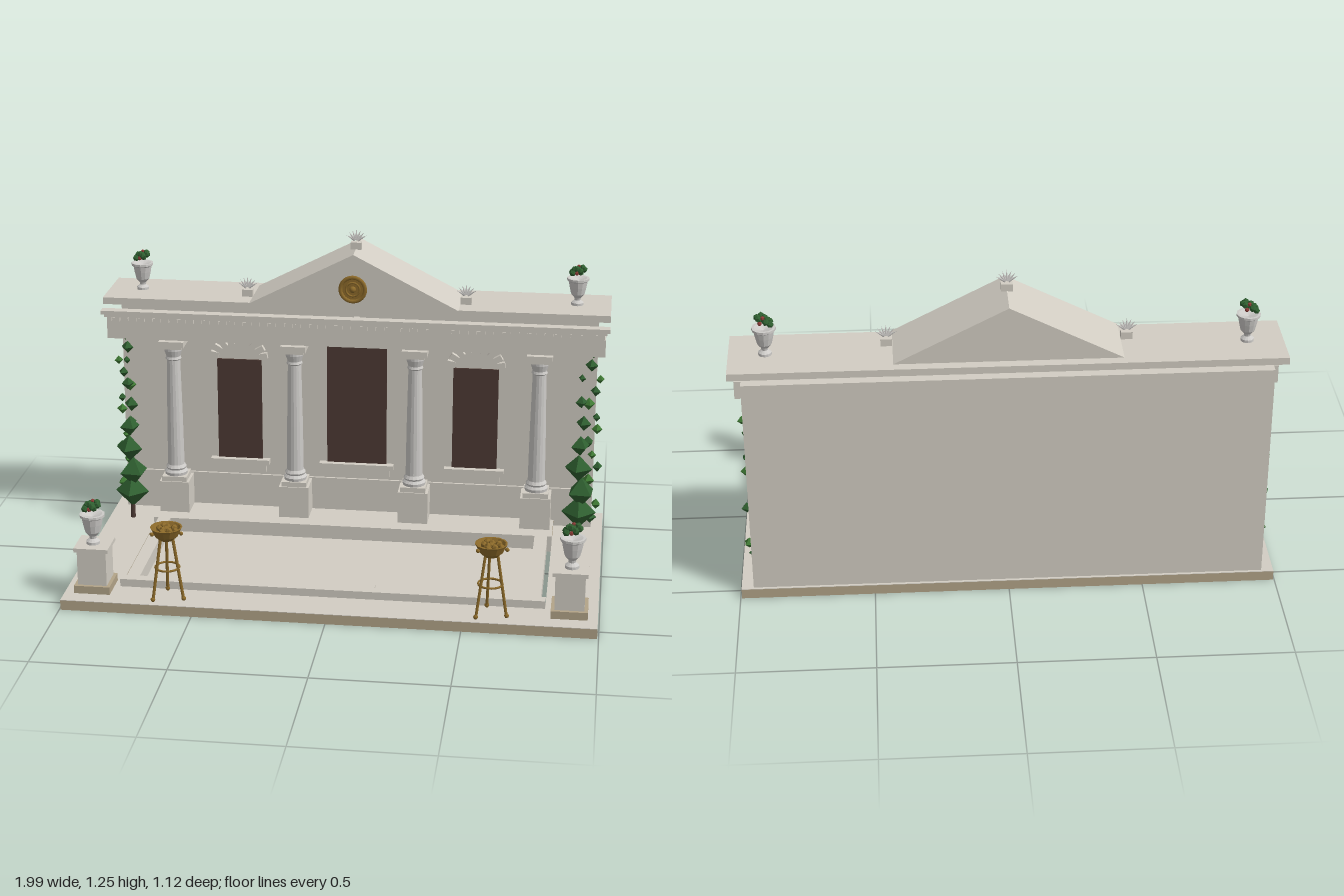
import * as THREE from 'three';

const mat = (name, color) => {
  const m = new THREE.MeshStandardMaterial({ color });
  m.name = name;
  return m;
};

export function createModel() {
  const root = new THREE.Group();
  root.name = 'poolPavilion';
  const stone = mat('stone', 0xd2cdc3), marble = mat('marble', 0xcdcbc8), tan = mat('sandstone', 0xb3a488);
  const dark = mat('darkPanel', 0x4d3a34), bronze = mat('bronze', 0x8c6a2a), blue = mat('poolBlue', 0x4c809c);
  const green = mat('foliage', 0x2f5f30), leaf = mat('ivyLeaf', 0x3f7a34), red = mat('flowerRed', 0x8a3a35);

  // Helpers
  const add = (parent, name, geo, m, x = 0, y = 0, z = 0) => {
    const mesh = new THREE.Mesh(geo, m);
    mesh.name = name;
    mesh.position.set(x, y, z);
    parent.add(mesh);
    return mesh;
  };
  const box = (parent, name, m, x0, x1, y0, y1, z0, z1) =>
    add(parent, name, new THREE.BoxGeometry(x1 - x0, y1 - y0, z1 - z0), m, (x0 + x1) / 2, (y0 + y1) / 2, (z0 + z1) / 2);
  const group = (name, x = 0, y = 0, z = 0) => {
    const g = new THREE.Group();
    g.name = name;
    g.position.set(x, y, z);
    root.add(g);
    return g;
  };
  const lathe = (pts, sides) => {
    const g = new THREE.LatheGeometry(pts.map(p => new THREE.Vector2(p[0], p[1])), sides).toNonIndexed();
    g.computeVertexNormals();
    return g;
  };
  const rod = (parent, name, m, a, b, r) => {
    const d = b.clone().sub(a);
    const mesh = add(parent, name, new THREE.CylinderGeometry(r, r, d.length(), 6), m);
    mesh.position.copy(a).addScaledVector(d, 0.5);
    mesh.quaternion.setFromUnitVectors(new THREE.Vector3(0, 1, 0), d.normalize());
  };

  // Terrace slab with the pool opening
  const slab = depth => {
    const rect = (P, x0, x1, z0, z1) => new P([[x0, -z1], [x1, -z1], [x1, -z0], [x0, -z0]].map(p => new THREE.Vector2(...p)));
    const s = rect(THREE.Shape, -0.995, 0.995, -0.55, 0.56);
    s.holes.push(rect(THREE.Path, -0.8, 0.8, -0.245, 0.41));
    return new THREE.ExtrudeGeometry(s, { depth, bevelEnabled: false }).rotateX(-Math.PI / 2);
  };
  add(root, 'terraceBase', slab(0.038), tan);
  add(root, 'terracePaving', slab(0.002), stone, 0, 0.038, 0);

  // Pool
  box(root, 'poolFloor', stone, -0.74, 0.74, 0.01, 0.014, -0.22, 0.38);
  box(root, 'poolUnderside', blue, -0.735, 0.735, 0.003, 0.01, -0.215, 0.375);
  for (const s of [-1, 1]) box(root, 'poolSideCoping', stone, s * 0.757 - 0.025, s * 0.757 + 0.025, 0.005, 0.07, -0.21, 0.37);
  box(root, 'poolFrontCoping', stone, -0.8, 0.8, 0.005, 0.07, 0.37, 0.41);
  box(root, 'poolBackCoping', stone, -0.8, 0.8, 0.005, 0.07, -0.245, -0.205);
  box(root, 'poolStepLow', stone, -0.15, 0.15, 0.014, 0.024, 0.24, 0.29);
  box(root, 'poolStepHigh', stone, -0.15, 0.15, 0.014, 0.034, 0.29, 0.34);

  // Back wall, plinth and column platform
  box(root, 'wall', stone, -0.95, 0.95, 0.04, 0.905, -0.54, -0.405);
  box(root, 'wallPlinth', stone, -0.95, 0.95, 0.04, 0.2, -0.405, -0.395);
  box(root, 'columnPlatform', [tan, tan, stone, tan, tan, tan], -0.8, 0.8, 0.04, 0.07, -0.38, -0.245);

  // Windows with sills and arch stones
  const window = (x, half, top, n) => {
    const g = group('window', x);
    box(g, 'windowPanel', dark, -half, half, 0.27, top, -0.405, -0.398);
    box(g, 'sill', stone, -half - 0.03, half + 0.03, 0.25, 0.27, -0.405, -0.375);
    box(g, 'sillApron', stone, -half - 0.015, half + 0.015, 0.215, 0.25, -0.405, -0.385);
    for (let i = 0; i < n; i++) {
      const a = Math.PI * (0.06 + 0.88 * i / (n - 1)), r = half + 0.01;
      const b = add(g, 'archStone', new THREE.BoxGeometry(0.034, 0.024, 0.02), stone,
        r * Math.cos(a), top + 0.005 + r * 0.8 * Math.sin(a), -0.395);
      b.rotation.z = a;
    }
  };
  window(-0.475, 0.09, 0.69, 9);
  window(0, 0.12, 0.76, 11);
  window(0.475, 0.09, 0.69, 9);

  // Columns on pedestals
  const shaft = lathe([[0, 0.22], [0.045, 0.22], [0.047, 0.232], [0.038, 0.242], [0.042, 0.25], [0.034, 0.262],
    [0.032, 0.45], [0.027, 0.705], [0.032, 0.71], [0.028, 0.72], [0.036, 0.745], [0.036, 0.757], [0, 0.757]], 16);
  for (const x of [-0.728, -0.24, 0.24, 0.728]) {
    const g = group('column', x, 0, -0.327);
    box(g, 'columnPedestal', stone, -0.06, 0.06, 0.07, 0.2, -0.055, 0.055);
    box(g, 'columnPlinth', stone, -0.05, 0.05, 0.2, 0.22, -0.05, 0.05);
    add(g, 'columnShaft', shaft, marble);
    box(g, 'abacus', stone, -0.04, 0.04, 0.755, 0.766, -0.036, 0.036);
    box(g, 'impostBlock', stone, -0.05, 0.05, 0.766, 0.79, -0.048, 0.048);
  }

  // Entablature
  box(root, 'architrave', stone, -0.98, 0.98, 0.8, 0.87, -0.447, -0.272);
  box(root, 'friezeBand', stone, -0.975, 0.975, 0.87, 0.89, -0.272, -0.262);
  box(root, 'corniceBandLow', stone, -0.985, 0.985, 0.895, 0.91, -0.27, -0.248);
  box(root, 'corniceBandHigh', stone, -0.995, 0.995, 0.91, 0.925, -0.27, -0.23);
  for (let i = 0; i < 60; i++) {
    const x = -0.965 + 1.93 * i / 59;
    box(root, 'dentil', stone, x - 0.009, x + 0.009, 0.878, 0.897, -0.27, -0.25);
  }
  box(root, 'roofSlab', stone, -0.995, 0.995, 0.938, 0.965, -0.56, -0.28);

  // Pediment and medallion
  const tri = new THREE.Shape([new THREE.Vector2(-0.41, 0), new THREE.Vector2(0.41, 0), new THREE.Vector2(0, 0.21)]);
  add(root, 'pediment', new THREE.ExtrudeGeometry(tri, { depth: 0.25, bevelEnabled: false }), stone, 0, 0.965, -0.522);
  const medal = group('medallion', 0, 1.04, -0.265);
  add(medal, 'medallionDisc', new THREE.CylinderGeometry(0.05, 0.05, 0.012, 24).rotateX(Math.PI / 2), bronze);
  add(medal, 'medallionRim', new THREE.TorusGeometry(0.048, 0.008, 8, 24), bronze, 0, 0, 0.005);
  add(medal, 'medallionRing', new THREE.TorusGeometry(0.027, 0.004, 6, 20), bronze, 0, 0, 0.006);
  add(medal, 'medallionBoss', new THREE.SphereGeometry(0.013, 10, 8), bronze, 0, 0, 0.006);

  // Roof ornaments: small block with a fan of leaves
  for (const [x, y] of [[0, 1.172], [-0.432, 0.965], [0.432, 0.965]]) {
    const g = group('roofOrnament', x, y, -0.375);
    box(g, 'ornamentBlock', stone, -0.021, 0.021, 0, 0.028, -0.014, 0.014);
    for (let i = -3; i <= 3; i++) {
      const len = 0.044 - 0.002 * Math.abs(i);
      const petal = new THREE.ConeGeometry(0.0075, len, 6).translate(0, len / 2, 0).scale(1, 1, 0.5);
      add(g, 'ornamentLeaf', petal, marble, i * 0.002, 0.036, 0).rotation.z = -i * 0.36;
    }
  }

  // Urns with planting
  const urnGeo = lathe([[0, 0], [0.025, 0], [0.025, 0.01], [0.012, 0.02], [0.014, 0.03], [0.027, 0.045],
    [0.034, 0.075], [0.038, 0.098], [0.045, 0.103], [0.045, 0.112], [0.036, 0.112], [0, 0.1]], 12);
  const urn = (x, y, z, s) => {
    const g = group('urn', x, y, z);
    g.scale.setScalar(s);
    add(g, 'urnBody', urnGeo, marble);
    for (let i = 0; i < 13; i++) {
      const a = i * 2.4, r = 0.0085 * Math.sqrt(i);
      const bloom = i % 4 === 2;
      add(g, bloom ? 'flower' : 'plant', new THREE.IcosahedronGeometry(bloom ? 0.009 : 0.0135, 0), bloom ? red : green,
        r * Math.cos(a), 0.145 - 0.5 * r + 0.008 * (i % 3), r * Math.sin(a)).rotation.set(a, i, 0);
    }
  };
  for (const s of [-1, 1]) {
    urn(s * 0.863, 0.965, -0.42, 0.97);

    // Front pedestal
    const p = group('frontPedestal', s * 0.89, 0, 0.425);
    box(p, 'pedestalBase', tan, -0.068, 0.068, 0.04, 0.07, -0.068, 0.068);
    box(p, 'pedestalBody', stone, -0.055, 0.055, 0.07, 0.205, -0.055, 0.055);
    box(p, 'pedestalCap', stone, -0.065, 0.065, 0.205, 0.22, -0.065, 0.065);
    urn(s * 0.893, 0.22, 0.428, 1.06);

    // Tripod brazier
    const b = group('brazier', s * 0.6, 0, 0.487);
    add(b, 'brazierBowl', lathe([[0, 0.27], [0.025, 0.275], [0.044, 0.292], [0.056, 0.318], [0.06, 0.325], [0.053, 0.325], [0.04, 0.305], [0, 0.3]], 14), bronze);
    for (let i = 0; i < 3; i++) {
      const a = i * Math.PI * 2 / 3 + 0.3, c = Math.cos(a), d = Math.sin(a);
      rod(b, 'brazierLeg', bronze, new THREE.Vector3(0.066 * c, 0.042, 0.066 * d), new THREE.Vector3(0.025 * c, 0.29, 0.025 * d), 0.006);
      add(b, 'brazierFoot', new THREE.SphereGeometry(0.009, 8, 6), bronze, 0.066 * c, 0.049, 0.066 * d);
      add(b, 'brazierHandle', new THREE.SphereGeometry(0.008, 6, 5), bronze, 0.062 * c, 0.31, 0.062 * d);
    }
    add(b, 'brazierRing', new THREE.TorusGeometry(0.045, 0.004, 6, 18).rotateX(Math.PI / 2), bronze, 0, 0.165, 0);
    for (let i = 0; i < 9; i++) {
      const r = 0.014 * Math.sqrt(i);
      add(b, 'ember', new THREE.IcosahedronGeometry(0.013, 0), bronze, r * Math.cos(i * 2.4), 0.317, r * Math.sin(i * 2.4)).rotation.set(i, i * 2, 0);
    }

    // Tiered topiary tree
    const t = group('topiary', s * 0.9, 0, -0.27);
    add(t, 'topiaryTrunk', new THREE.CylinderGeometry(0.008, 0.01, 0.08, 6), dark, 0, 0.08, 0);
    [[0.155, 0.068], [0.24, 0.061], [0.34, 0.055], [0.433, 0.041], [0.528, 0.031], [0.615, 0.025], [0.713, 0.016]].forEach(([y, r], i) => {
      add(t, 'topiaryTier', new THREE.OctahedronGeometry(r, 0), green, 0.008 * Math.sin(i * 2), y, 0).rotation.y = i * 0.7;
    });

    // Climbing ivy on the wall edge
    const v = group('ivy', s * 0.945, 0, -0.39);
    for (let i = 0; i < 14; i++) {
      const m = add(v, 'ivyLeafCluster', new THREE.OctahedronGeometry(0.026 - 0.004 * (i % 3), 0), i % 2 ? leaf : green,
        s * 0.022 * Math.sin(i * 1.9), 0.09 + i * 0.053, 0.006 * Math.cos(i * 2.3));
      m.rotation.y = i * 0.9;
    }
  }
  return root;
}
